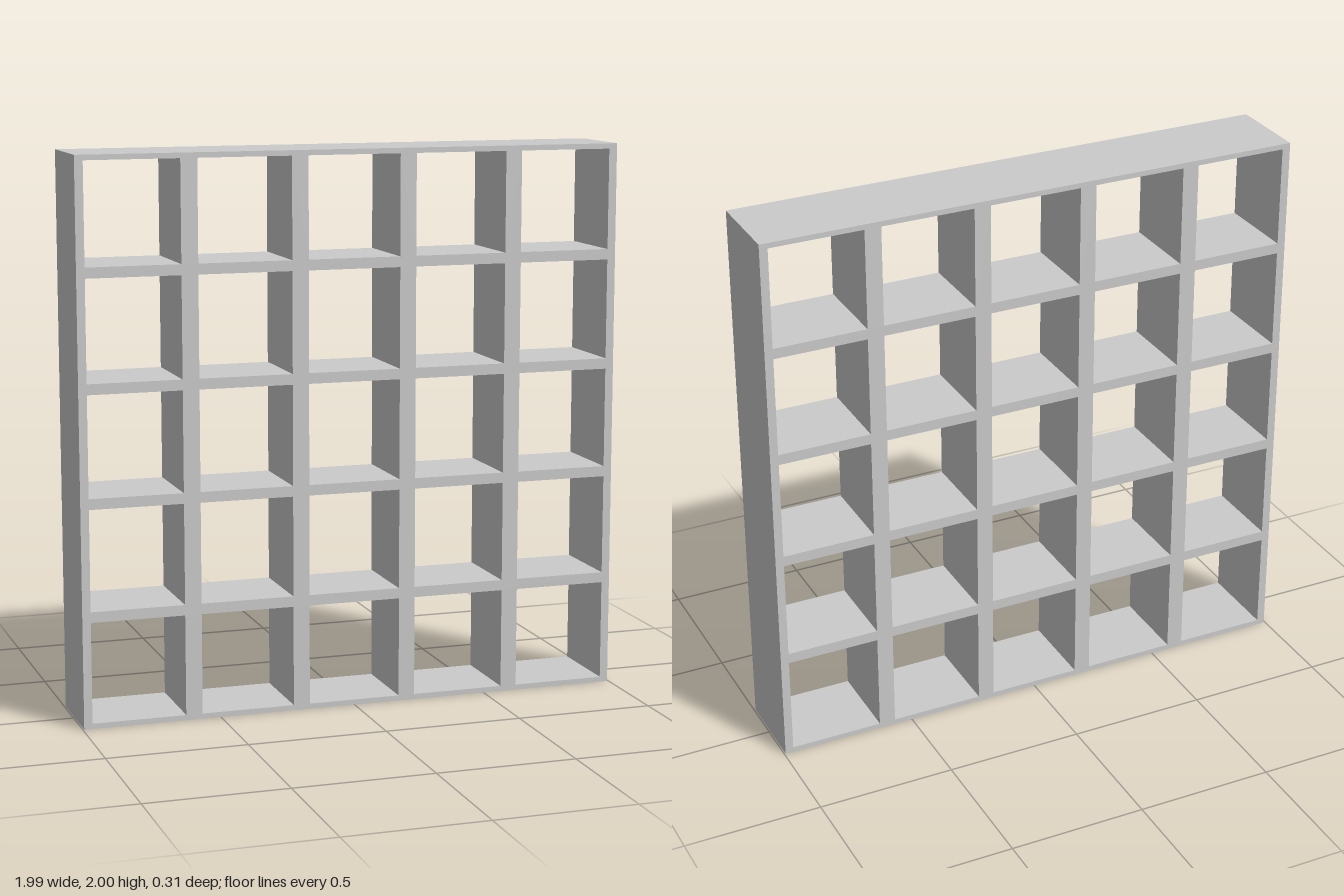
import * as THREE from 'three';

const CELLS = 5;
const PITCH_X = 0.398, PITCH_Y = 0.4;   // cell spacing
const HOLE_X = 0.338, HOLE_Y = 0.362;   // clear opening
const DEPTH = 0.305;

// Rectangle centred on (cx, cy) as a closed path
function rect(path, cx, cy, w, h) {
  path.moveTo(cx - w / 2, cy - h / 2);
  path.lineTo(cx + w / 2, cy - h / 2);
  path.lineTo(cx + w / 2, cy + h / 2);
  path.lineTo(cx - w / 2, cy + h / 2);
  path.closePath();
  return path;
}

export function createModel() {
  const group = new THREE.Group();
  group.name = 'cubeShelf';

  // Outer slab with a through opening for every compartment
  const outline = rect(new THREE.Shape(), 0, 1, CELLS * PITCH_X, CELLS * PITCH_Y);
  for (let row = 0; row < CELLS; row++) {
    for (let col = 0; col < CELLS; col++) {
      const cx = (col - (CELLS - 1) / 2) * PITCH_X;
      const cy = (row + 0.5) * PITCH_Y;
      outline.holes.push(rect(new THREE.Path(), cx, cy, HOLE_X, HOLE_Y));
    }
  }

  const geometry = new THREE.ExtrudeGeometry(outline, { depth: DEPTH, bevelEnabled: false });
  geometry.translate(0, 0, -DEPTH / 2);
  const lattice = new THREE.Mesh(geometry, new THREE.MeshStandardMaterial({ color: 0xcccccc }));
  lattice.name = 'shelfLattice';
  group.add(lattice);
  return group;
}
